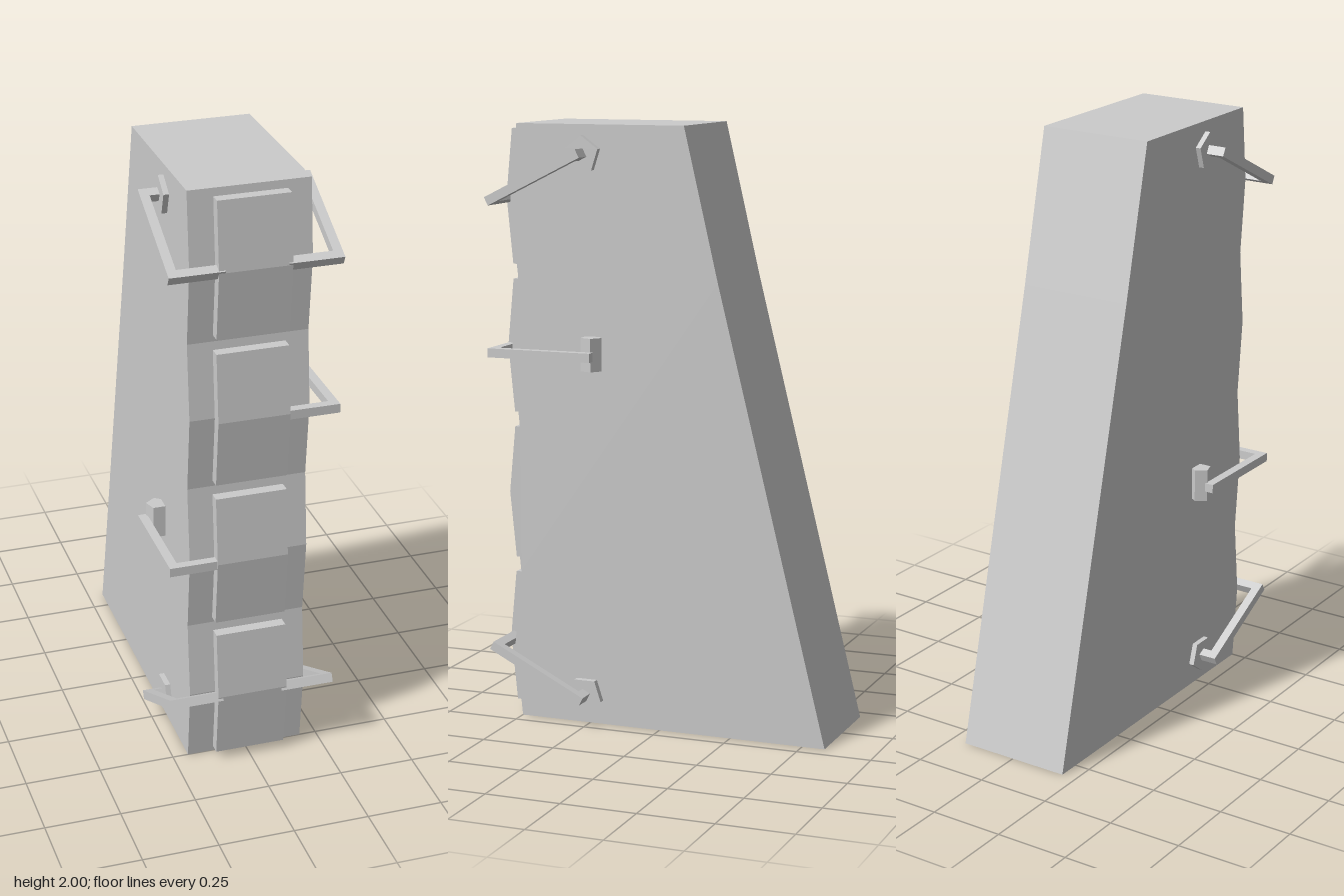
import * as THREE from 'three';

const material = new THREE.MeshStandardMaterial({ color: 0xcccccc, flatShading: true });
const BAR = 0.03;

function add(parent, name, geometry, x = 0, y = 0, z = 0) {
  const mesh = new THREE.Mesh(geometry, material);
  mesh.name = name;
  mesh.position.set(x, y, z);
  parent.add(mesh);
  return mesh;
}

// Extrude a side profile of [z, y] points across x, from xMin to xMax
function sideExtrude(points, xMin, xMax) {
  const shape = new THREE.Shape(points.map(([z, y]) => new THREE.Vector2(z, y)));
  const geometry = new THREE.ExtrudeGeometry(shape, { depth: xMax - xMin, bevelEnabled: false });
  return geometry.rotateY(-Math.PI / 2).translate(xMax, 0, 0);
}

// Five-sided plate with its axis along x, pointing up (dir = 1) or down (dir = -1)
function pentagonPlate(dir, xMin, xMax, y, z, r) {
  const points = [];
  for (let i = 0; i < 5; i++) {
    const a = (i * Math.PI * 2) / 5;
    points.push([z + r * Math.sin(a), y + dir * r * Math.cos(a)]);
  }
  return sideExtrude(points, xMin, xMax);
}

// Side arm plus crossbar running from the arm to the panel
function addArm(parent, side, from, to) {
  const [z0, y0] = from, [z1, y1] = to;
  const arm = new THREE.Group();
  arm.name = side > 0 ? 'leftArm' : 'rightArm';
  parent.add(arm);
  const tilt = -Math.atan2(y1 - y0, z1 - z0);
  const length = Math.hypot(y1 - y0, z1 - z0) + BAR;
  add(arm, 'armBar', new THREE.BoxGeometry(BAR, BAR, length),
    side * 0.263, (y0 + y1) / 2, (z0 + z1) / 2).rotation.x = tilt;
  add(arm, 'crossbar', new THREE.BoxGeometry(0.178, BAR, BAR),
    side * 0.189, y1, z1).rotation.x = tilt;
  return { arm, tilt };
}

// Angled bracket hinged on a pentagonal plate
function addBracket(parent, side, dir, from, to) {
  const { arm, tilt } = addArm(parent, side, from, to);
  add(arm, 'hingeBar', new THREE.BoxGeometry(0.08, BAR, BAR),
    side * 0.238, from[1], from[0]).rotation.x = tilt;
  const [xMin, xMax] = side > 0 ? [0.19, 0.216] : [-0.216, -0.19];
  add(arm, 'hingePlate', pentagonPlate(dir, xMin, xMax, from[1], from[0], 0.062));
}

// Level arm carried by an upright five-sided post
function addPostArm(parent, side, y) {
  const { arm } = addArm(parent, side, [0.225, y], [0.56, y]);
  const post = new THREE.CylinderGeometry(0.036, 0.036, 0.11, 5).rotateY(Math.PI);
  add(arm, 'post', post, side * 0.218, y + 0.005, 0.228);
}

export function createModel() {
  const model = new THREE.Group();
  model.name = 'taperedTower';

  // Tapered body with a shallow zigzag front
  const profile = [[-0.577, 0]];
  for (let i = 0; i <= 8; i++) profile.push([i % 2 ? 0.525 : 0.5, i * 0.25]);
  profile.push([-0.087, 2], [-0.204, 1.5]);
  add(model, 'body', sideExtrude(profile, -0.198, 0.194));

  // Four bent front panels
  for (let i = 0; i < 4; i++) {
    const y = i * 0.5 + 0.255;
    const shift = i ? -0.004 : 0;
    add(model, 'frontPanel', sideExtrude([
      [0.518, y - 0.225], [0.555, y - 0.225], [0.577, y],
      [0.555, y + 0.225], [0.518, y + 0.225], [0.54, y],
    ], -0.117 + shift, 0.117 + shift));
  }

  // Brackets at top and bottom on both sides
  for (const side of [-1, 1]) {
    addBracket(model, side, 1, [0.262, 1.903], [0.56, 1.755]);
    addBracket(model, side, -1, [0.262, 0.1], [0.56, 0.25]);
  }

  // Single post arms on alternate sides
  addPostArm(model, 1, 1.25);
  addPostArm(model, -1, 0.753);

  return model;
}
